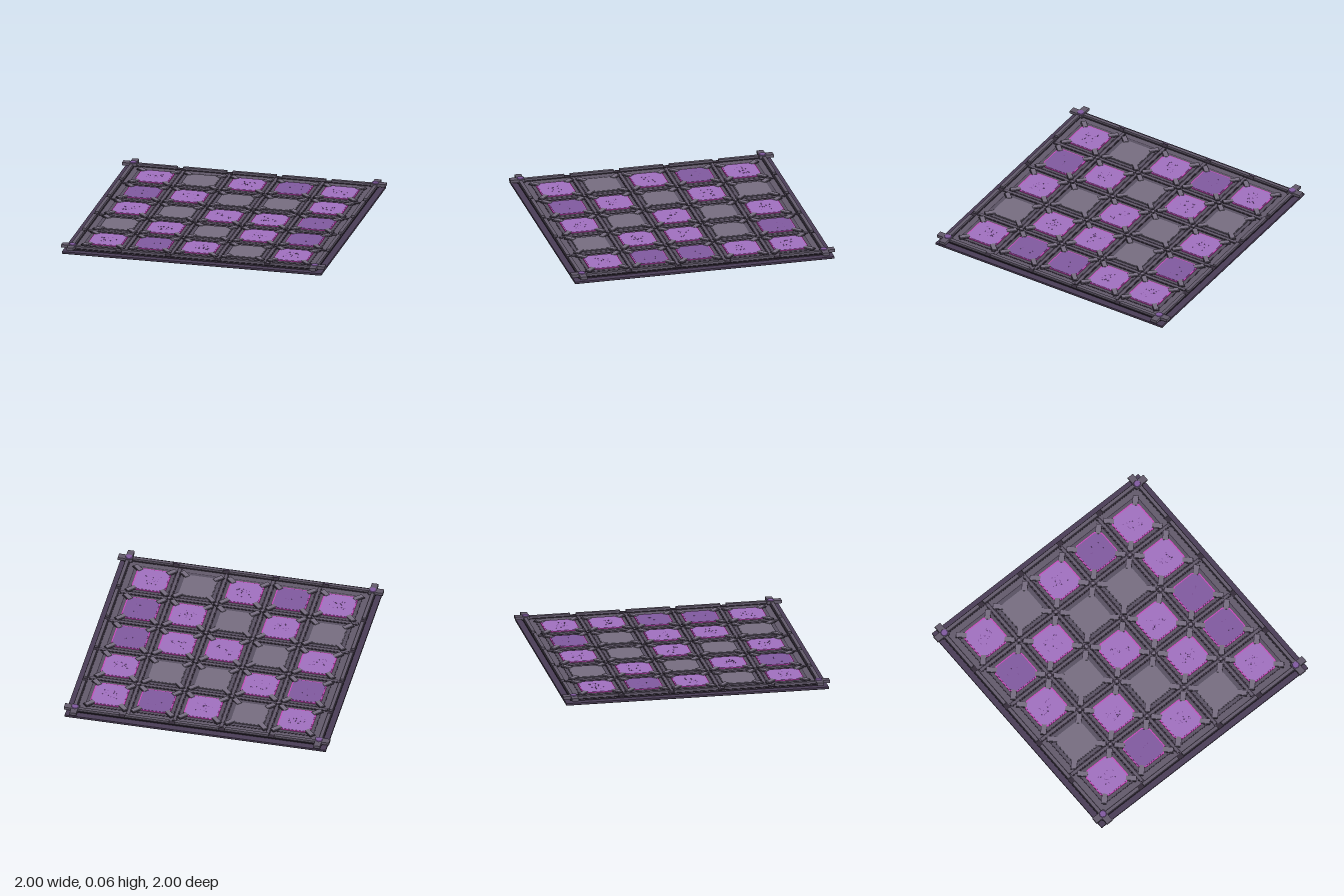
import * as THREE from 'three';

const mat = (color) => new THREE.MeshStandardMaterial({ color, flatShading: true });
const M = {
  under: mat(0x2a2230), rim: mat(0x4a3d56), stone: mat(0x625a6b), dark: mat(0x352d3b), floor: mat(0x595162),
  pale: mat(0x766d80), bright: mat(0xa070bf), deep: mat(0x805a9f), glow: mat(0xcc45bb), fleck: mat(0x75488f),
};

// small seeded generator
let seed = 7;
const rand = () => (seed = (seed * 16807) % 2147483647) / 2147483647;

// box given by its bottom and top heights
function box(parent, name, m, w, d, y0, y1, x = 0, z = 0, turn = 0) {
  const mesh = new THREE.Mesh(new THREE.BoxGeometry(w, y1 - y0, d), m);
  mesh.position.set(x, (y0 + y1) / 2, z);
  mesh.rotation.y = turn;
  mesh.name = name;
  parent.add(mesh);
  return mesh;
}

// square slab with cut corners
function octSlab(parent, name, m, half, cut, y0, y1) {
  const a = half, b = half - cut;
  const shape = new THREE.Shape(
    [[a, -b], [a, b], [b, a], [-b, a], [-a, b], [-a, -b], [-b, -a], [b, -a]].map(([x, y]) => new THREE.Vector2(x, y)));
  const geo = new THREE.ExtrudeGeometry(shape, { depth: y1 - y0, bevelEnabled: false });
  geo.rotateX(-Math.PI / 2);
  const mesh = new THREE.Mesh(geo, m);
  mesh.position.y = y0;
  mesh.name = name;
  parent.add(mesh);
}

// one floor cell: recessed panel, tile, corner braces
function makeCell(kind) {
  const cell = new THREE.Group();
  cell.name = 'cell';
  box(cell, 'panelEdge', M.dark, 0.316, 0.316, 0.028, 0.0315);
  box(cell, 'panel', M.floor, 0.304, 0.304, 0.028, 0.033);
  if (kind === 'G') {
    octSlab(cell, 'tileEdge', M.floor, 0.129, 0.042, 0.03, 0.037);
    octSlab(cell, 'tile', M.pale, 0.122, 0.04, 0.03, 0.039);
  } else {
    octSlab(cell, 'tileGlow', M.glow, 0.129, 0.042, 0.03, 0.038);
    octSlab(cell, 'tile', kind === 'P' ? M.bright : M.deep, 0.121, 0.04, 0.03, 0.04);
    // scattered chips on the tile
    const count = kind === 'P' ? 14 : 4;
    for (let i = 0; i < count; i++) {
      box(cell, 'chip', M.fleck, 0.006 + rand() * 0.008, 0.005, 0.039, 0.0412,
        (rand() - 0.5) * 0.13, (rand() - 0.5) * 0.1, rand() * 3);
    }
  }
  for (const sx of [-1, 1]) for (const sz of [-1, 1]) {
    const turn = -sx * sz * Math.PI / 4;
    box(cell, 'braceFoot', M.dark, 0.084, 0.046, 0.03, 0.036, sx * 0.126, sz * 0.126, turn);
    box(cell, 'brace', M.pale, 0.074, 0.036, 0.03, 0.043, sx * 0.126, sz * 0.126, turn);
  }
  return cell;
}

export function createModel() {
  const model = new THREE.Group();
  model.name = 'floorPanel';

  // stacked base slabs
  box(model, 'underside', M.under, 1.97, 1.97, 0, 0.006);
  box(model, 'rim', M.rim, 1.97, 1.97, 0.006, 0.016);
  box(model, 'plinth', M.dark, 1.87, 1.87, 0.016, 0.022);
  box(model, 'deck', M.stone, 1.86, 1.86, 0.022, 0.03);

  // 5 x 5 cells, rows from the back to the front
  const pitch = 0.352;
  ['PGPDP', 'DPGGP', 'PGPPD', 'GPGPD', 'PDPGP'].forEach((row, r) => {
    [...row].forEach((kind, c) => {
      const cell = makeCell(kind);
      cell.position.set((c - 2) * pitch, 0, (r - 2) * pitch);
      model.add(cell);
    });
  });

  // ridges between the cells with studs at the crossings
  for (const i of [-1.5, -0.5, 0.5, 1.5]) {
    const p = i * pitch;
    box(model, 'ridgeBase', M.dark, 0.034, 1.8, 0.028, 0.033, p, 0);
    box(model, 'ridgeBase', M.dark, 1.8, 0.034, 0.028, 0.0332, 0, p);
    box(model, 'ridge', M.stone, 0.018, 1.79, 0.03, 0.035, p, 0);
    box(model, 'ridge', M.stone, 1.79, 0.018, 0.03, 0.0352, 0, p);
    for (const j of [-1.5, -0.5, 0.5, 1.5]) {
      box(model, 'stud', M.dark, 0.036, 0.036, 0.03, 0.037, p, j * pitch, Math.PI / 4);
      box(model, 'studCap', M.pale, 0.02, 0.02, 0.03, 0.039, p, j * pitch, Math.PI / 4);
    }
  }

  // four sides: segmented rail and one corner clamp each
  for (let k = 0; k < 4; k++) {
    const side = new THREE.Group();
    side.name = 'side';
    side.rotation.y = k * Math.PI / 2;
    box(side, 'railBed', M.dark, 1.8, 0.04, 0.028, 0.034, 0, 0.925);
    for (let i = -2; i <= 2; i++) {
      box(side, 'rail', M.stone, 0.332, 0.026, 0.03, 0.05, i * 0.376, 0.926);
    }
    box(side, 'clampFoot', M.dark, 0.06, 0.06, 0.028, 0.036, 0.92, 0.92);
    box(side, 'clampArm', M.stone, 0.11, 0.05, 0.034, 0.056, 0.945, 0.92);
    box(side, 'clampArm', M.stone, 0.05, 0.11, 0.034, 0.0565, 0.92, 0.945);
    const gem = new THREE.Mesh(new THREE.CylinderGeometry(0.025, 0.032, 0.012, 8), M.deep);
    gem.name = 'cornerGem';
    gem.position.set(0.92, 0.055, 0.92);
    side.add(gem);
    model.add(side);
  }
  return model;
}
